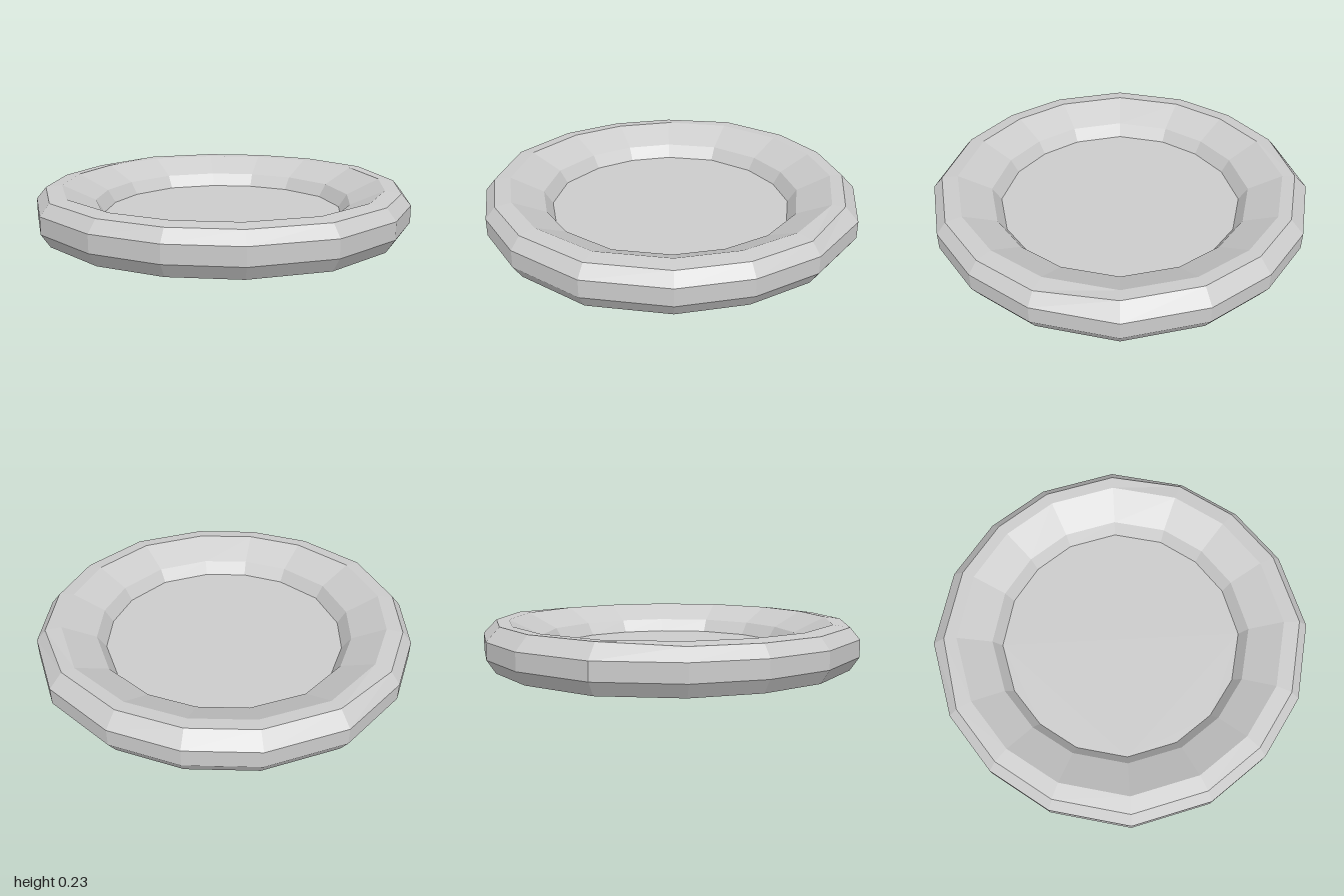
import * as THREE from 'three';

const material = new THREE.MeshStandardMaterial({ color: 0xcccccc, flatShading: true, side: THREE.DoubleSide });

// 16-sided outline: four corners of one quarter, turned around the axis
const quarter = [[1, 0], [0.94, 0.36], [0.72, 0.72], [0.36, 0.94]];
const outline = [];
for (let q = 0; q < 4; q++) {
  for (const [x, z] of quarter) {
    outline.push([[x, z], [-z, x], [-x, -z], [z, -x]][q]);
  }
}
const N = outline.length;

// Joins rings of [radius, height] into a faceted shell
function shell(name, rings, adjust = (p) => p) {
  const positions = [], index = [];
  rings.forEach(([r, y], j) => {
    outline.forEach(([x, z], i) => {
      const p = adjust(new THREE.Vector3(x * r, y, z * r), r);
      positions.push(p.x, p.y, p.z);
      if (j === rings.length - 1) return;
      const a = j * N + i, b = j * N + (i + 1) % N;
      index.push(a, a + N, b, b, a + N, b + N);
    });
  });
  const geometry = new THREE.BufferGeometry();
  geometry.setAttribute('position', new THREE.Float32BufferAttribute(positions, 3));
  geometry.setIndex(index);
  const flat = geometry.toNonIndexed();
  flat.computeVertexNormals();
  const mesh = new THREE.Mesh(flat, material);
  mesh.name = name;
  return mesh;
}

export function createModel() {
  const group = new THREE.Group();
  group.name = 'dish';

  // The rim edge is pulled in and up slightly at the back
  const RIM = 0.95;
  const rimAdjust = (p, r) => {
    if (r === RIM && p.z < -0.6) {
      p.x *= 0.98;
      p.z *= 0.98;
      p.y += 0.012;
    }
    return p;
  };

  // Outer wall, open underneath, bevelled at foot and top
  group.add(shell('outerWall', [[0.955, 0], [1, 0.07], [1, 0.16], [RIM, 0.22]], rimAdjust));
  // Narrow top rim
  group.add(shell('rim', [[RIM, 0.22], [0.865, 0.23]], rimAdjust));
  // Shallow slope, then the steep step down to the floor
  group.add(shell('innerSlope', [[0.865, 0.23], [0.69, 0.145], [0.645, 0.075]]));

  // Flat floor
  const shape = new THREE.Shape(outline.map(([x, z]) => new THREE.Vector2(x * 0.645, z * 0.645)));
  const floor = new THREE.Mesh(new THREE.ShapeGeometry(shape).rotateX(-Math.PI / 2), material);
  floor.position.y = 0.075;
  floor.name = 'floor';
  group.add(floor);

  return group;
}
